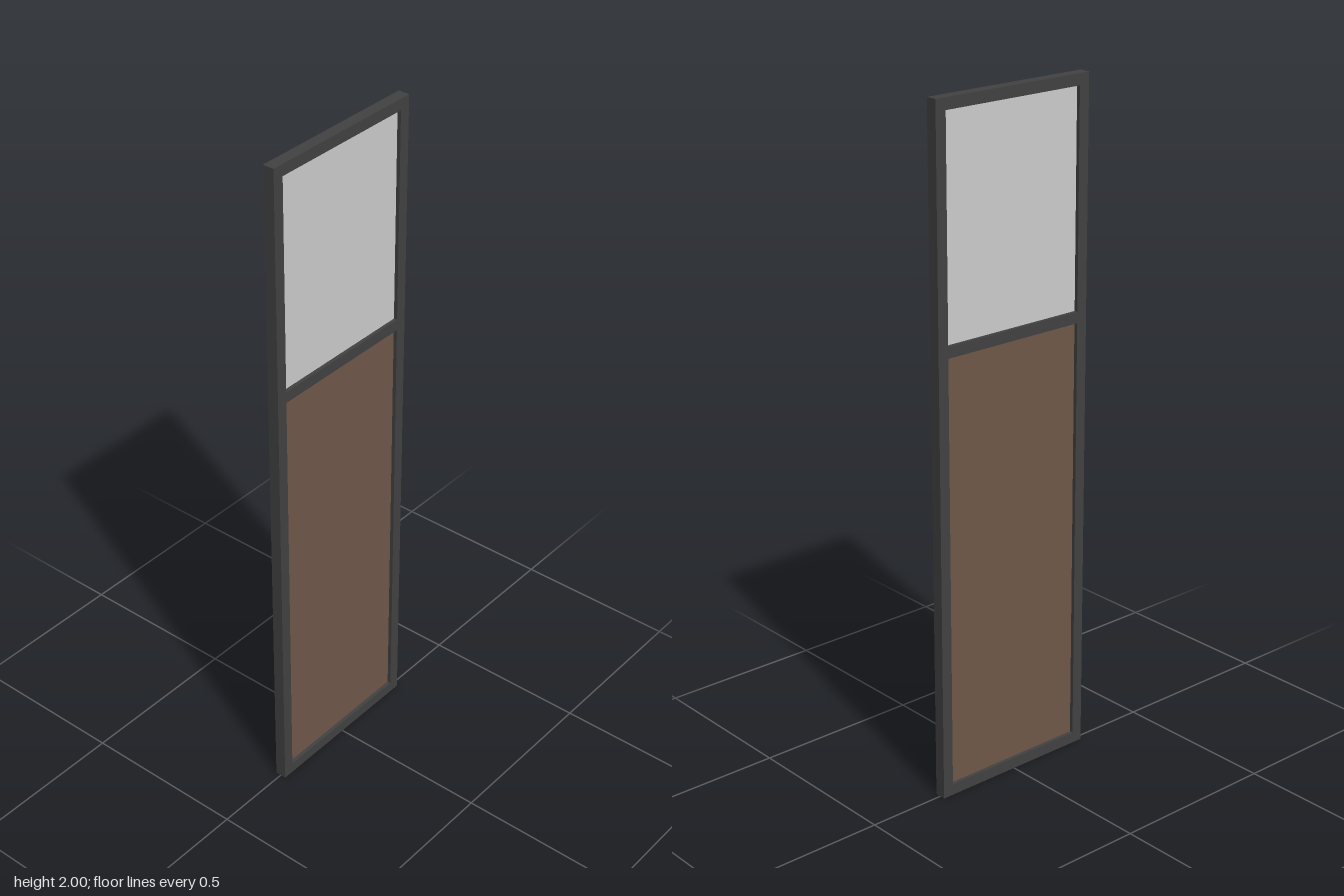
import * as THREE from 'three';

const HEIGHT = 2, WIDTH = 0.528, DEPTH = 0.034, RAIL = 0.033;
const BAR_Y = 1.323; // centre of the cross rail
const PANEL_DEPTH = 0.012;

export function createModel() {
  const frameMat = new THREE.MeshStandardMaterial({ color: 0x424242 });
  const woodMat = new THREE.MeshStandardMaterial({ color: 0x705849 });
  const glassMat = new THREE.MeshStandardMaterial({ color: 0xcdcdcd });
  frameMat.name = 'darkFrame';
  woodMat.name = 'brownPanel';
  glassMat.name = 'paleGlass';

  const model = new THREE.Group();
  model.name = 'framedPanel';

  // Rectangular opening, centred on the frame's width
  const half = WIDTH / 2, inner = half - RAIL;
  const rect = (path, w, y0, y1) => {
    path.moveTo(-w, y0);
    path.lineTo(w, y0);
    path.lineTo(w, y1);
    path.lineTo(-w, y1);
    path.closePath();
    return path;
  };
  const lower = [RAIL, BAR_Y - RAIL / 2];
  const upper = [BAR_Y + RAIL / 2, HEIGHT - RAIL];

  // Frame with two openings, turned so that its width runs along z
  const outline = rect(new THREE.Shape(), half, 0, HEIGHT);
  for (const [y0, y1] of [lower, upper]) outline.holes.push(rect(new THREE.Path(), inner, y0, y1));
  const frameGeo = new THREE.ExtrudeGeometry(outline, { depth: DEPTH, bevelEnabled: false });
  frameGeo.translate(0, 0, -DEPTH / 2).rotateY(Math.PI / 2);
  const frame = new THREE.Mesh(frameGeo, frameMat);
  frame.name = 'frame';
  model.add(frame);

  // Recessed infill of each opening
  const addInfill = (name, [y0, y1], material) => {
    const infill = new THREE.Mesh(new THREE.BoxGeometry(PANEL_DEPTH, y1 - y0, inner * 2), material);
    infill.position.y = (y0 + y1) / 2;
    infill.name = name;
    model.add(infill);
  };
  addInfill('lowerPanel', lower, woodMat);
  addInfill('upperWindow', upper, glassMat);

  return model;
}
